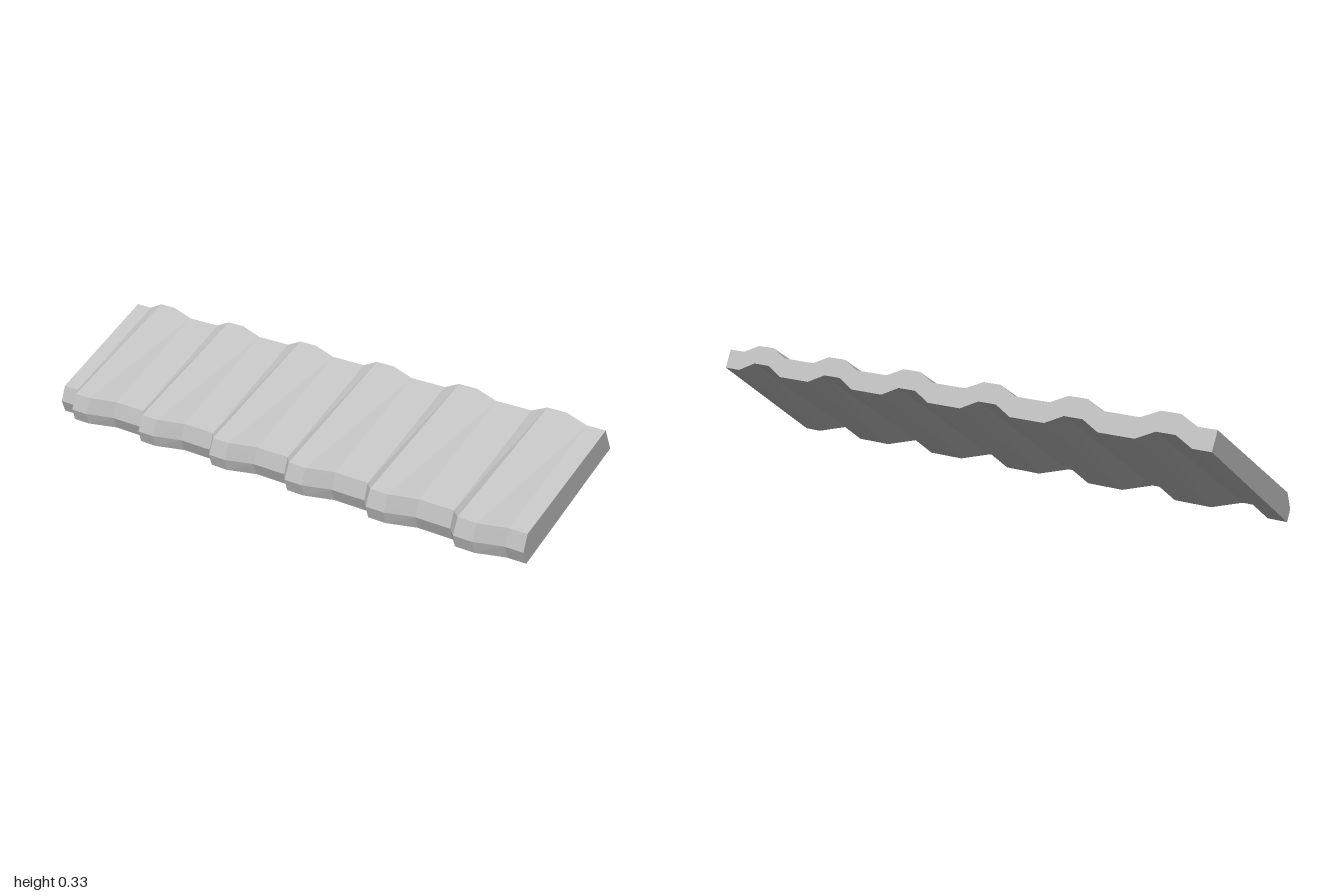
import * as THREE from 'three';

// Cross-sections as [z, y]: front lip top, lip middle, lip bottom, back bottom, back top
const TROUGH = [[0.135, 0.085], [0.15, 0.035], [0.137, 0], [-0.21, 0.25], [-0.187, 0.307]];
const RIDGE = [[0.193, 0.097], [0.21, 0.047], [0.2, 0.013], [-0.199, 0.277], [-0.177, 0.332]];

export function createModel() {
  const group = new THREE.Group();
  group.name = 'corrugatedRoof';
  const grey = new THREE.MeshStandardMaterial({ color: 0xc0c0c0 });
  grey.name = 'light grey';
  grey.flatShading = true;

  // Stations along x: six flat-topped ridges between flat troughs
  const stations = [[-1, TROUGH]];
  for (let i = 0; i < 6; i++) {
    const c = -0.833 + i * 0.3333;
    stations.push([c - 0.1, TROUGH], [c - 0.035, RIDGE], [c + 0.035, RIDGE], [c + 0.1, TROUGH]);
  }
  stations.push([1, TROUGH]);

  const rings = stations.map(([x, s]) => s.map(([z, y]) => [x, y, z]));
  const pos = [];
  const tri = (a, b, c) => pos.push(...a, ...b, ...c);

  // Skin between neighbouring sections
  for (let i = 0; i < rings.length - 1; i++) {
    const a = rings[i], b = rings[i + 1];
    for (let j = 0; j < 5; j++) {
      const k = (j + 1) % 5;
      tri(a[j], a[k], b[j]);
      tri(a[k], b[k], b[j]);
    }
  }

  // End caps
  const first = rings[0], last = rings[rings.length - 1];
  for (let j = 1; j < 4; j++) {
    tri(last[0], last[j], last[j + 1]);
    tri(first[0], first[j + 1], first[j]);
  }

  const geometry = new THREE.BufferGeometry();
  geometry.setAttribute('position', new THREE.Float32BufferAttribute(pos, 3));
  geometry.computeVertexNormals();
  const sheet = new THREE.Mesh(geometry, grey);
  sheet.name = 'corrugatedSheet';
  group.add(sheet);
  return group;
}
